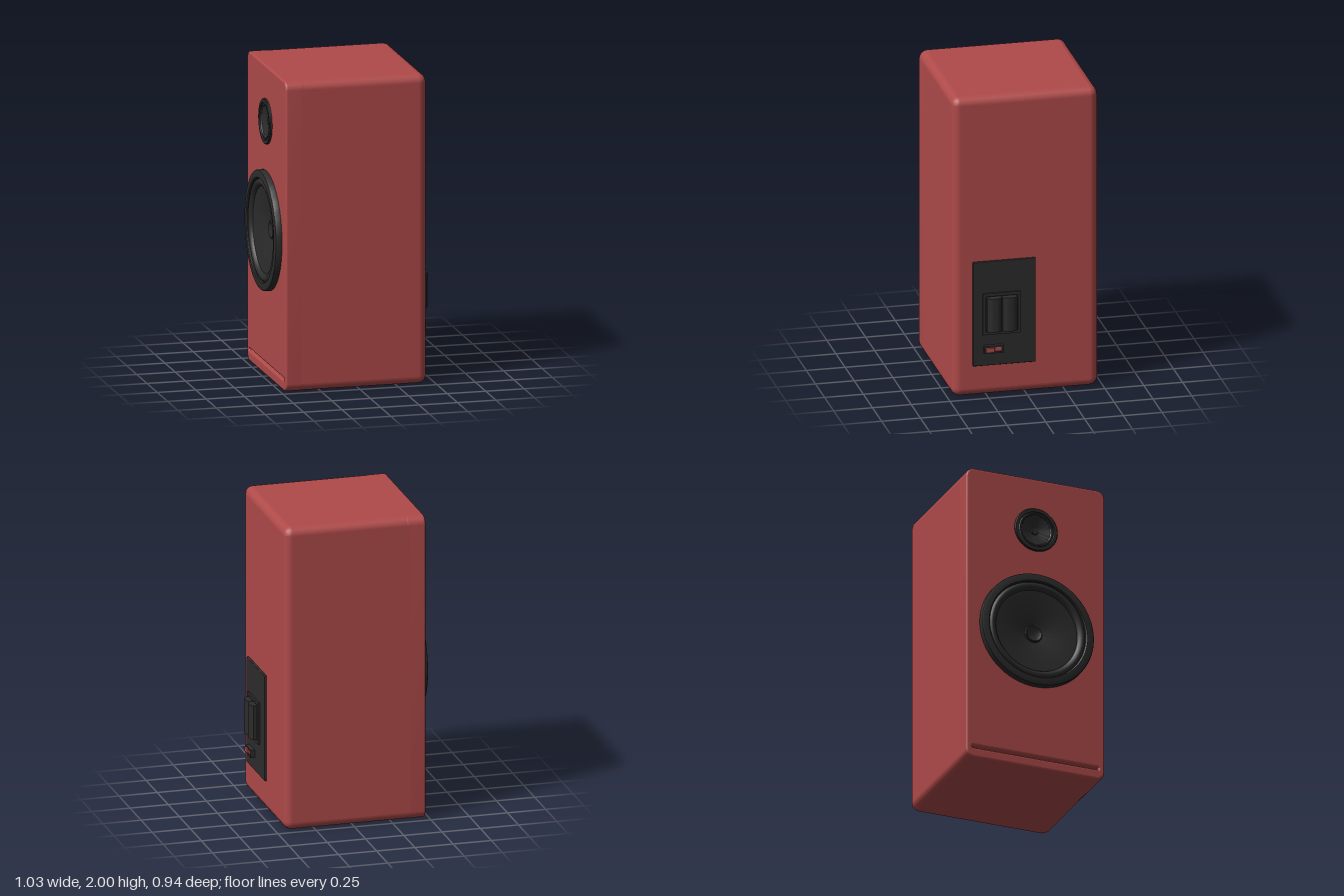
import * as THREE from 'three';
import { toCreasedNormals } from 'three/addons/utils/BufferGeometryUtils.js';
import { RoundedBoxGeometry } from 'three/addons/geometries/RoundedBoxGeometry.js';

const red = new THREE.MeshStandardMaterial({ color: 0xb04a4a });
const black = new THREE.MeshStandardMaterial({ color: 0x2c2c2c });

const FACE = -0.475; // x of the baffle surface
const BACK = 0.447; // x of the rear surface

function roundedRect(w, h, r, cx = 0, cy = 0, Type = THREE.Shape) {
  const s = new Type();
  const x = w / 2 - r, y = h / 2 - r;
  s.absarc(cx + x, cy + y, r, 0, Math.PI / 2);
  s.absarc(cx - x, cy + y, r, Math.PI / 2, Math.PI);
  s.absarc(cx - x, cy - y, r, Math.PI, Math.PI * 1.5);
  s.absarc(cx + x, cy - y, r, Math.PI * 1.5, Math.PI * 2);
  s.closePath();
  return s;
}

function add(parent, name, geometry, material, x = 0, y = 0, z = 0) {
  const mesh = new THREE.Mesh(geometry, material);
  mesh.name = name;
  mesh.position.set(x, y, z);
  parent.add(mesh);
  return mesh;
}

// Box given by its extents
function block(parent, name, material, [x0, x1], [y0, y1], [z0, z1], r = 0.004) {
  const g = new RoundedBoxGeometry(x1 - x0, y1 - y0, z1 - z0, 2, r);
  return add(parent, name, g, material, (x0 + x1) / 2, (y0 + y1) / 2, (z0 + z1) / 2);
}

// Rectangular rim standing out from the rear panel
function rim(parent, name, x, depth, y, z, h, w, t) {
  const s = roundedRect(w, h, 0.004);
  s.holes.push(roundedRect(w - 2 * t, h - 2 * t, 0.003, 0, 0, THREE.Path));
  const g = new THREE.ExtrudeGeometry(s, { depth, bevelEnabled: false, curveSegments: 3 });
  g.rotateY(Math.PI / 2);
  return add(parent, name, g, black, x, y, z);
}

// Round driver turned from [radius, height above baffle] points
function driver(parent, name, y, profile) {
  const pts = profile.map(([r, h]) => new THREE.Vector2(r, h));
  const g = toCreasedNormals(new THREE.LatheGeometry(pts, 64), 0.65);
  g.rotateZ(Math.PI / 2);
  return add(parent, name, g, black, FACE, y, 0);
}

export function createModel() {
  const model = new THREE.Group();
  model.name = 'loudspeaker';

  // Cabinet body with generously rounded edges
  block(model, 'cabinet', red, [-0.43, BACK], [0, 2], [-0.472, 0.472], 0.055);

  // Baffle with tighter edges, driver cut-outs and a long slot near the floor
  const shape = roundedRect(0.944, 2, 0.055, 0, 1);
  for (const [y, r] of [[0.943, 0.34], [1.645, 0.115]]) {
    const hole = new THREE.Path();
    hole.absarc(0, y, r, 0, Math.PI * 2);
    shape.holes.push(hole);
  }
  shape.holes.push(roundedRect(0.86, 0.014, 0.006, 0, 0.075, THREE.Path));
  const bevel = 0.014, depth = 0.1;
  const baffle = new THREE.ExtrudeGeometry(shape, {
    depth, curveSegments: 12, bevelThickness: bevel, bevelSize: bevel, bevelOffset: -bevel, bevelSegments: 4,
  });
  baffle.rotateY(-Math.PI / 2);
  add(model, 'baffle', toCreasedNormals(baffle, 0.18), red, FACE + depth + bevel, 0, 0);

  // Woofer: flange, rolled surround, cone and dust cap
  driver(model, 'woofer', 0.943, [
    [0.383, -0.005], [0.383, 0.033], [0.38, 0.039], [0.373, 0.042], [0.335, 0.042], [0.328, 0.036],
    [0.326, 0.026], [0.319, 0.034], [0.307, 0.038], [0.295, 0.035], [0.284, 0.026], [0.277, 0.014],
    [0.268, 0.014], [0.06, -0.036], [0.056, -0.028], [0.05, -0.027], [0.044, -0.031], [0.025, -0.037], [0, -0.039],
  ]);

  // Tweeter
  driver(model, 'tweeter', 1.645, [
    [0.145, -0.005], [0.145, 0.011], [0.141, 0.015], [0.122, 0.015], [0.118, 0.009], [0.112, 0.013],
    [0.104, 0.012], [0.098, 0.004], [0.092, 0.003], [0.026, -0.016], [0.023, -0.01], [0.018, -0.01], [0, -0.014],
  ]);

  // Rear connection panel
  const panel = new THREE.Group();
  panel.name = 'rearPanel';
  model.add(panel);
  block(panel, 'panelPlate', black, [BACK - 0.01, 0.462], [0.205, 0.9], [-0.062, 0.342]);
  rim(panel, 'terminalFrame', 0.46, 0.015, 0.552, 0.16, 0.276, 0.246, 0.02);

  // Pair of domed terminals
  const dome = new THREE.Shape();
  dome.moveTo(0, -0.047);
  dome.lineTo(0.037, -0.047);
  dome.quadraticCurveTo(0.07, 0, 0.037, 0.047);
  dome.lineTo(0, 0.047);
  dome.closePath();
  const terminal = new THREE.ExtrudeGeometry(dome, { depth: 0.224, bevelEnabled: false, curveSegments: 10 });
  terminal.rotateX(-Math.PI / 2);
  const terminalGeometry = toCreasedNormals(terminal, 0.4);
  for (const z of [0.11, 0.21]) add(panel, 'terminal', terminalGeometry, black, 0.46, 0.44, z);

  // Power switch with a two-part rocker
  rim(panel, 'switchBezel', 0.46, 0.03, 0.318, 0.213, 0.05, 0.126, 0.01);
  block(panel, 'rockerHigh', red, [0.46, 0.498], [0.304, 0.332], [0.21, 0.265], 0.003);
  block(panel, 'rockerLow', red, [0.46, 0.485], [0.304, 0.332], [0.16, 0.212], 0.003);

  return model;
}
